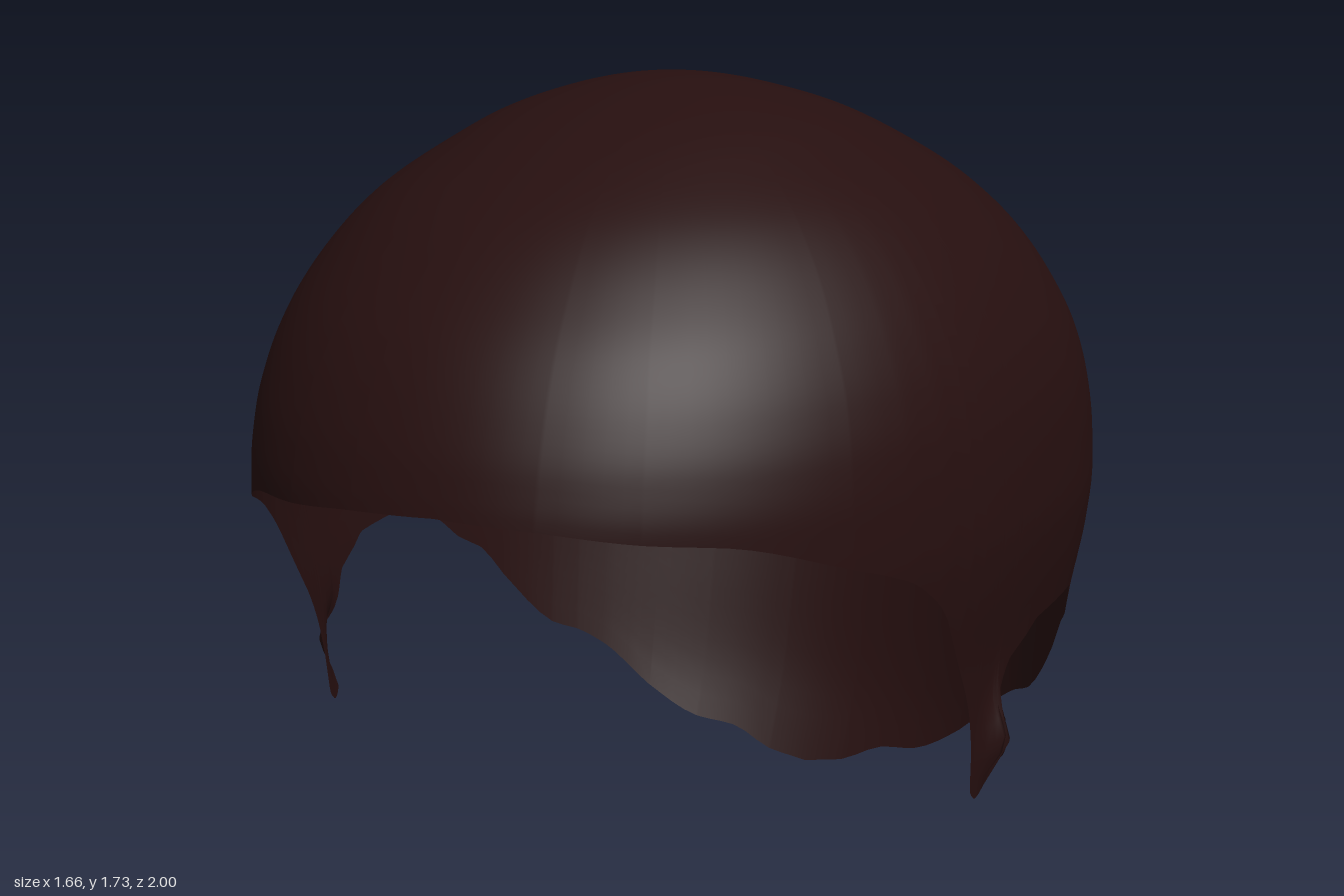
import * as THREE from 'three';
import { mergeVertices } from 'three/addons/utils/BufferGeometryUtils.js';

const TOP = 1.73;

// Smooth cubic interpolation through rows [key, value...], keys ascending
function sample(rows, key, col) {
  let i = 0;
  while (i < rows.length - 2 && key > rows[i + 1][0]) i++;
  const slope = (a, b) => (rows[b][col] - rows[a][col]) / (rows[b][0] - rows[a][0]);
  const tangent = (j) => {
    if (j === 0) return slope(0, 1);
    if (j === rows.length - 1) return slope(j - 1, j);
    const l = slope(j - 1, j), r = slope(j, j + 1);
    return l * r <= 0 ? 0 : (2 * l * r) / (l + r);
  };
  const h = rows[i + 1][0] - rows[i][0];
  const t = THREE.MathUtils.clamp((key - rows[i][0]) / h, 0, 1);
  const t2 = t * t, t3 = t2 * t;
  return (2 * t3 - 3 * t2 + 1) * rows[i][col] + (t3 - 2 * t2 + t) * h * tangent(i)
    + (3 * t2 - 2 * t3) * rows[i + 1][col] + (t3 - t2) * h * tangent(i + 1);
}

// Cross-sections: height, half width, front z, back z, z of the widest point
const sections = [
  [1.73, 0, 0, 0, 0],
  [1.70, 0.21, 0.21, -0.22, -0.01],
  [1.65, 0.35, 0.37, -0.40, -0.02],
  [1.60, 0.44, 0.49, -0.52, -0.04],
  [1.50, 0.585, 0.67, -0.70, -0.06],
  [1.40, 0.68, 0.79, -0.81, -0.09],
  [1.30, 0.745, 0.88, -0.88, -0.11],
  [1.20, 0.79, 0.94, -0.93, -0.13],
  [1.10, 0.815, 0.98, -0.965, -0.14],
  [1.00, 0.826, 1.0, -0.987, -0.15],
  [0.90, 0.83, 1.0, -0.997, -0.15],
  [0.80, 0.82, 1.0, -1.0, -0.15],
  [0.60, 0.785, 1.0, -0.97, -0.15],
  [0.40, 0.77, 1.0, -0.92, -0.15],
  [0.20, 0.755, 1.0, -0.86, -0.15],
  [0.00, 0.74, 1.0, -0.76, -0.15],
].map(([y, ...rest]) => [Math.sqrt(TOP - y), ...rest]);

// Hairline: angle from the front in degrees, height
const hairline = [
  [0, 1.03], [12, 1.02], [24.6, 0.998], [35, 0.983], [50.4, 0.91], [58.5, 0.86],
  [63.7, 0.79], [68.1, 0.67], [71.8, 0.55], [73.3, 0.45], [73.9, 0.36], [75.1, 0.34],
  [76.4, 0.36], [76.7, 0.42], [77.2, 0.5], [78.4, 0.56], [79.9, 0.61], [83.2, 0.64],
  [85.6, 0.665], [93.5, 0.672], [99, 0.668], [104, 0.62], [108, 0.57], [113, 0.53],
  [118, 0.45], [128, 0.32], [133, 0.295], [138.7, 0.25], [147.8, 0.15], [158, 0.08],
  [165, 0.065], [173, 0.02], [180, 0.005],
];

// Point on the head at an angle and height
function surfacePoint(angle, y, side) {
  const s = Math.sqrt(Math.max(0, TOP - y));
  const [w, front, back, mid] = [1, 2, 3, 4].map((c) => sample(sections, s, c));
  const cos = Math.cos(angle), sin = Math.sin(angle);
  const n = cos > 0 ? 2 / 2.1 : 1;
  const z = mid + (cos > 0 ? (front - mid) : (mid - back)) * Math.sign(cos) * Math.abs(cos) ** n;
  let x = w * Math.max(0, sin) ** n;
  // Small outward curl on the rear edge of the sideburn
  x += 0.045 * Math.exp(-(((y - 0.46) / 0.06) ** 2) - ((z - 0.13) / 0.03) ** 2);
  return [side * x, y, z];
}

// Angles around one half: even steps plus the hairline's own points
function halfAngles() {
  const list = hairline.map((r) => r[0]);
  for (let a = 0; a < 180; a += 2.5) list.push(a);
  for (let a = 70.25; a < 80; a += 0.5) list.push(a);
  return [...new Set(list)].sort((a, b) => a - b);
}

function buildShell() {
  const half = halfAngles();
  const columns = [
    ...half.map((a) => [a, 1]),
    ...half.slice(0, -1).reverse().map((a) => [a, -1]),
  ];
  const levels = 72, positions = [], index = [];
  columns.forEach(([deg, side], i) => {
    const depth = Math.sqrt(TOP - sample(hairline, deg, 1));
    for (let j = 0; j <= levels; j++) {
      // Levels crowd towards the crown
      const y = TOP - (depth * (1 - j / levels)) ** 2;
      positions.push(...surfacePoint(THREE.MathUtils.degToRad(deg), y, side));
      if (i < columns.length - 1 && j < levels) {
        const a = i * (levels + 1) + j, b = a + levels + 1;
        index.push(a, b, b + 1);
        if (j < levels - 1) index.push(a, b + 1, a + 1);
      }
    }
  });
  const geometry = new THREE.BufferGeometry();
  geometry.setAttribute('position', new THREE.Float32BufferAttribute(positions, 3));
  geometry.setIndex(index);
  const merged = mergeVertices(geometry, 1e-5);
  merged.computeVertexNormals();
  return merged;
}

export function createModel() {
  const darkBrown = new THREE.MeshStandardMaterial({ color: 0x260f0f, side: THREE.DoubleSide });
  darkBrown.name = 'darkBrown';

  const group = new THREE.Group();
  group.name = 'hair';

  // Open cap with sideburns and a pointed nape
  const cap = new THREE.Mesh(buildShell(), darkBrown);
  cap.name = 'hairCap';
  group.add(cap);
  return group;
}
